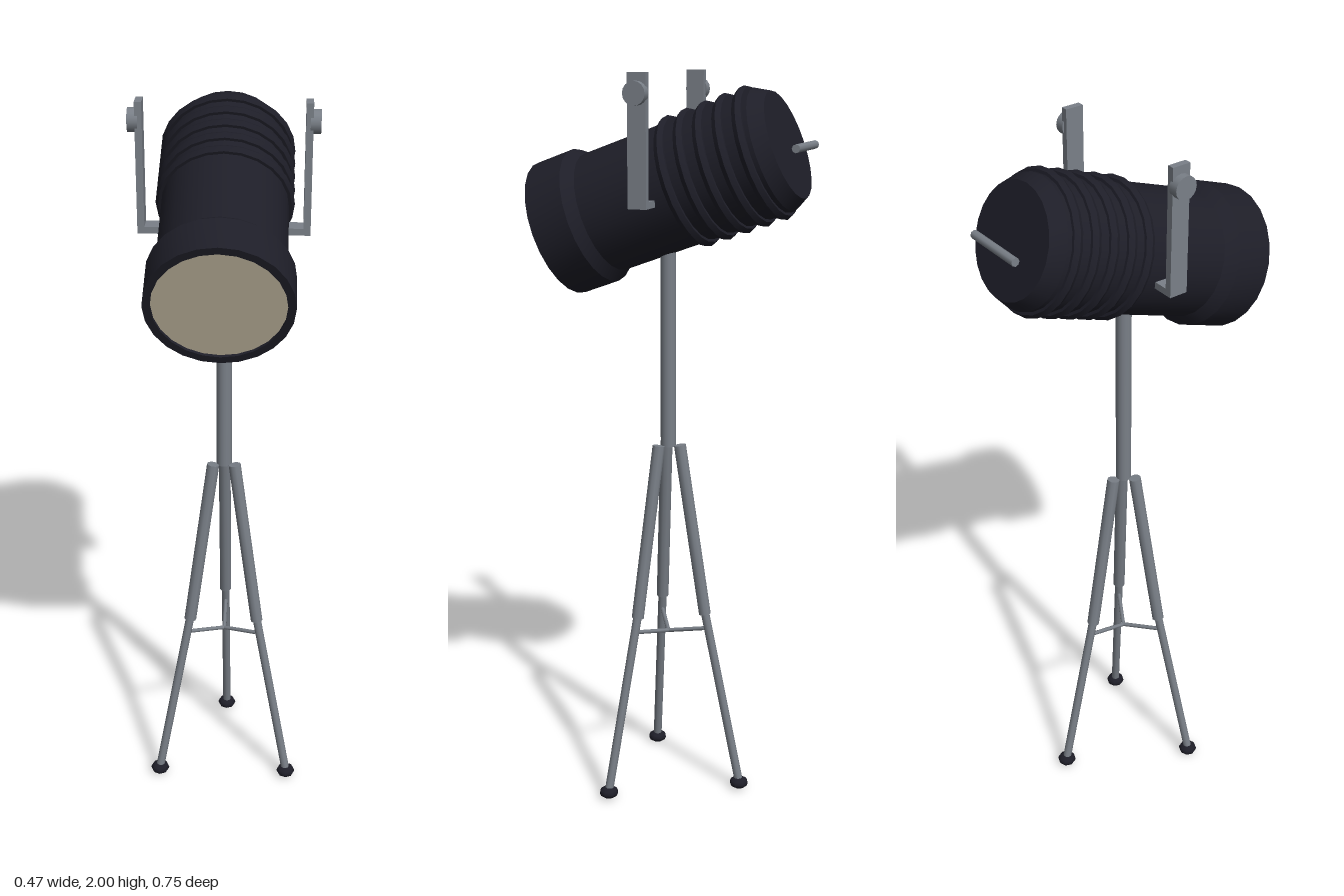
import * as THREE from 'three';
import { toCreasedNormals } from 'three/addons/utils/BufferGeometryUtils.js';

const mat = (name, color) => {
  const m = new THREE.MeshStandardMaterial({ color });
  m.name = name;
  return m;
};

export function createModel() {
  const metal = mat('steel grey', 0x7a8088);
  const black = mat('blue black', 0x1e1e28);
  const glass = mat('warm glass', 0xc9bea6);
  const model = new THREE.Group();
  model.name = 'studioLamp';
  const Z0 = 0.004; // stand axis

  const add = (parent, name, geo, material, x = 0, y = 0, z = 0) => {
    const mesh = new THREE.Mesh(geo, material);
    mesh.name = name;
    mesh.position.set(x, y, z);
    parent.add(mesh);
    return mesh;
  };
  // round bar between two points
  const bar = (parent, name, a, b, r, sides = 10) => {
    const dir = b.clone().sub(a);
    const mesh = add(parent, name, new THREE.CylinderGeometry(r, r, dir.length(), sides), metal);
    mesh.position.copy(a).add(b).multiplyScalar(0.5);
    mesh.quaternion.setFromUnitVectors(new THREE.Vector3(0, 1, 0), dir.normalize());
    return mesh;
  };

  // Stand: pole and three two-stage legs with feet and spreader struts
  const stand = new THREE.Group();
  stand.name = 'stand';
  stand.position.z = Z0;
  model.add(stand);
  bar(stand, 'pole', new THREE.Vector3(0, 1.0, 0), new THREE.Vector3(0, 1.67, 0), 0.021, 16);
  for (let i = 0; i < 3; i++) {
    const a = Math.PI + (i * 2 * Math.PI) / 3;
    const at = (r, y) => new THREE.Vector3(Math.sin(a) * r, y, Math.cos(a) * r);
    const leg = new THREE.Group();
    leg.name = 'leg';
    stand.add(leg);
    bar(leg, 'upperLeg', at(0.034, 1.005), at(0.11, 0.52), 0.017);
    bar(leg, 'lowerLeg', at(0.108, 0.535), at(0.217, 0.02), 0.012);
    bar(leg, 'spreaderStrut', at(0, 0.454), at(0.108, 0.476), 0.006, 6);
    const p = at(0.217, 0.017);
    add(leg, 'foot', new THREE.SphereGeometry(0.027, 8, 6), black, p.x, p.y, p.z).scale.y = 0.63;
  }

  // Yoke: crossbar, two arms and their knobs
  const yoke = new THREE.Group();
  yoke.name = 'yoke';
  yoke.position.z = Z0;
  model.add(yoke);
  add(yoke, 'crossbar', new THREE.BoxGeometry(0.436, 0.018, 0.05), metal, 0, 1.676, 0);
  for (const s of [-1, 1]) {
    add(yoke, 'arm', new THREE.BoxGeometry(0.018, 0.333, 0.05), metal, s * 0.209, 1.8335, 0);
    const knob = new THREE.CylinderGeometry(0.03, 0.03, 0.026, 16).rotateZ(Math.PI / 2);
    add(yoke, 'knob', knob, metal, s * 0.224, 1.95, 0);
  }

  // Lamp head, built upright along its axis and tipped towards the front
  const head = new THREE.Group();
  head.name = 'lampHead';
  head.position.set(0, 1.701, 0);
  head.rotation.x = Math.PI / 2 + 0.356;
  model.add(head);
  const profile = [
    [0, -0.343], [0.142, -0.343], [0.163, -0.305], [0.163, 0.195],
    [0.185, 0.225], [0.185, 0.333], [0.165, 0.333], [0.165, 0.32],
  ].map(([x, y]) => new THREE.Vector2(x, y));
  add(head, 'housing', toCreasedNormals(new THREE.LatheGeometry(profile, 24), 0.5), black);
  add(head, 'lens', new THREE.CircleGeometry(0.166, 24).rotateX(-Math.PI / 2), glass, 0, 0.325, 0);
  for (let i = 0; i < 5; i++) {
    const fin = new THREE.TorusGeometry(0.163, 0.015, 6, 24).rotateX(Math.PI / 2);
    add(head, 'coolingFin', toCreasedNormals(fin, 0.5), black, 0, -0.06 - i * 0.055, 0);
  }

  // Grip rod behind the housing
  bar(model, 'rearGrip', new THREE.Vector3(-0.087, 1.817, -0.367), new THREE.Vector3(0.087, 1.817, -0.367), 0.011, 8);

  return model;
}
